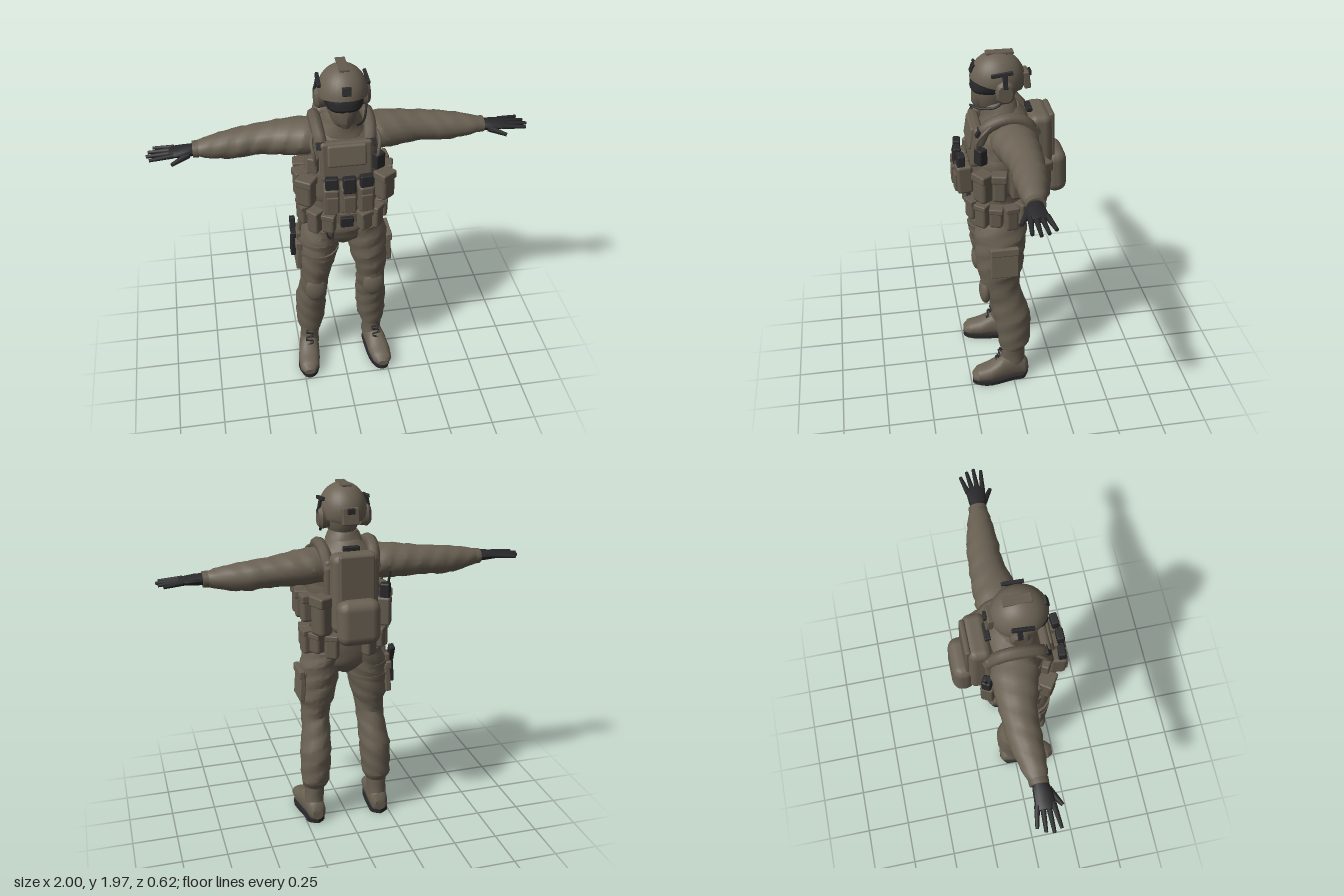
import * as THREE from 'three';
import { toCreasedNormals } from 'three/addons/utils/BufferGeometryUtils.js';
import { RoundedBoxGeometry } from 'three/addons/geometries/RoundedBoxGeometry.js';

const material = (name, color, side = THREE.FrontSide) => {
  const m = new THREE.MeshStandardMaterial({ color, side });
  m.name = name;
  return m;
};

// Skin over elliptical sections. Rows are [position, centreU, centreV, radiusU, radiusV];
// (u, v) is (x, z) along y, (z, y) along x and (y, x) along z. Folds ripple the radius.
function loft(axis, rows, { sides = 18, folds = 0, step = 0.025, power = 1 } = {}) {
  const fine = [];
  rows.forEach((r, i) => {
    const next = rows[i + 1];
    if (!next) return fine.push(r);
    const n = Math.max(1, Math.round((next[0] - r[0]) / step));
    for (let k = 0; k < n; k++) fine.push(r.map((v, j) => v + (next[j] - v) * k / n));
  });
  const order = { x: (p, u, v) => [p, v, u], y: (p, u, v) => [u, p, v], z: (p, u, v) => [v, u, p] }[axis];
  const soft = v => Math.sign(v) * Math.abs(v) ** power;
  const pos = [], idx = [], last = fine.length - 1;
  for (const [p, cu, cv, ru, rv] of fine) {
    for (let i = 0; i < sides; i++) {
      const a = i / sides * Math.PI * 2;
      const k = 1 + folds * (0.6 * Math.sin(3 * a + 62 * p) + 0.5 * Math.sin(5 * a - 105 * p));
      pos.push(...order(p, cu + ru * k * soft(Math.cos(a)), cv + rv * k * soft(Math.sin(a))));
    }
  }
  for (let j = 0; j < last; j++) {
    for (let i = 0; i < sides; i++) {
      const a = j * sides + i, b = j * sides + (i + 1) % sides;
      idx.push(a, a + sides, b, b, a + sides, b + sides);
    }
  }
  for (const end of [0, last]) {
    const c = pos.length / 3, [p, u, v] = fine[end];
    pos.push(...order(p, u, v));
    for (let i = 0; i < sides; i++) {
      const a = end * sides + i, b = end * sides + (i + 1) % sides;
      idx.push(c, end ? b : a, end ? a : b);
    }
  }
  const g = new THREE.BufferGeometry();
  g.setAttribute('position', new THREE.Float32BufferAttribute(pos, 3));
  g.setIndex(idx);
  return toCreasedNormals(g, 0.6);
}

// Soft-edged box: size, centre, rotation
function box([w, h, d], [x, y, z], [rx, ry, rz] = [0, 0, 0], round = 0.2) {
  const g = new RoundedBoxGeometry(w, h, d, 2, Math.min(w, h, d) * round);
  return g.rotateX(rx).rotateZ(rz).rotateY(ry).translate(x, y, z);
}

// Tapered rod between two points
function rod(a, b, r0, r1) {
  const p = new THREE.Vector3(...a), q = new THREE.Vector3(...b), d = q.clone().sub(p);
  const g = new THREE.CylinderGeometry(r1, r0, d.length(), 8);
  g.applyQuaternion(new THREE.Quaternion().setFromUnitVectors(new THREE.Vector3(0, 1, 0), d.normalize()));
  return g.translate(...p.add(q).multiplyScalar(0.5).toArray());
}

const tube = (pts, r) =>
  new THREE.TubeGeometry(new THREE.CatmullRomCurve3(pts.map(p => new THREE.Vector3(...p))), 16, r, 8);

// Flip in x and restore the corner order
function mirror(geometry) {
  const g = geometry.index ? geometry.toNonIndexed() : geometry.clone();
  g.scale(-1, 1, 1);
  for (const { array, itemSize: n } of Object.values(g.attributes)) {
    for (let i = 0; i < array.length; i += 3 * n) {
      for (let k = 0; k < n; k++) {
        const t = array[i + n + k];
        array[i + n + k] = array[i + 2 * n + k];
        array[i + 2 * n + k] = t;
      }
    }
  }
  return g;
}

export function createModel() {
  const model = new THREE.Group();
  model.name = 'soldier';
  const fabric = material('olive fabric', 0x6a6153);
  const gear = material('olive gear', 0x645b4e);
  const shell = material('helmet olive', 0x6a6153, THREE.DoubleSide);
  const black = material('black', 0x29292b);
  const add = (name, g, m) => {
    const mesh = new THREE.Mesh(g, m);
    mesh.name = name;
    model.add(mesh);
  };
  const pair = (name, g, m) => { add(name + 'Left', g, m); add(name + 'Right', mirror(g), m); };

  // Trousers, jacket and sleeves
  add('pelvis', loft('y', [[.92, 0, .05, .05, .08], [.98, 0, .05, .17, .13], [1.06, 0, .055, .205, .15],
    [1.19, 0, .045, .185, .14]], { folds: .015 }), fabric);
  add('torso', loft('y', [[1.14, 0, .045, .185, .14], [1.25, 0, .05, .19, .145], [1.42, 0, .045, .19, .145],
    [1.53, 0, .03, .19, .145], [1.6, 0, .01, .18, .125], [1.65, 0, .01, .11, .1], [1.68, 0, .02, .08, .08]],
    { folds: .015 }), fabric);
  pair('leg', loft('y', [[.22, .187, 0, .066, .075], [.26, .185, -.01, .08, .09], [.35, .18, -.005, .086, .098],
    [.45, .177, .003, .088, .106], [.55, .166, .03, .08, .1], [.65, .162, .068, .079, .105], [.72, .157, .07, .085, .115],
    [.75, .155, .066, .098, .125], [.85, .143, .066, .108, .135], [.97, .13, .06, .113, .142],
    [1.06, .11, .055, .1, .145]], { folds: .04 }), fabric);
  pair('sleeve', loft('x', [[.1, 0, 1.55, .11, .09], [.2, -.008, 1.55, .122, .094], [.3, -.02, 1.545, .108, .09],
    [.4, -.03, 1.54, .092, .08], [.48, -.03, 1.535, .085, .077], [.51, -.028, 1.53, .088, .078],
    [.6, -.022, 1.525, .076, .072], [.7, -.012, 1.525, .06, .052], [.74, -.01, 1.525, .046, .04]],
    { folds: .035 }), fabric);
  pair('cuff', loft('x', [[.735, -.008, 1.525, .05, .043], [.765, -.008, 1.525, .048, .041]]), gear);
  pair('kneePad', new THREE.SphereGeometry(1, 14, 10).scale(.062, .085, .035).translate(.165, .625, .152), fabric);
  pair('thighPocket', box([.03, .17, .15], [.248, .85, .055], [0, 0, .07]), fabric);
  pair('pocketFlap', box([.032, .045, .155], [.252, .925, .055], [0, 0, .07]), fabric);

  // Gloves
  pair('palm', loft('x', [[.74, -.005, 1.525, .036, .032], [.8, 0, 1.525, .047, .028], [.87, 0, 1.523, .051, .019],
    [.885, 0, 1.523, .045, .014]], { sides: 12 }), black);
  [[-.04, .965, -.062], [-.014, .99, -.024], [.013, 1, .014], [.038, .985, .052]].forEach(([z, tip, zt], i) => {
    pair('finger' + i, rod([.86, 1.525, z], [tip, 1.517, zt], .0145, .009), black);
  });
  pair('thumb', rod([.79, 1.515, .03], [.875, 1.498, .082], .019, .01), black);

  // Boots with flattened undersides
  const foot = loft('z', [[-.09, .06, .19, .035, .03], [-.07, .07, .19, .06, .05], [0, .085, .195, .08, .056],
    [.07, .08, .205, .075, .06], [.14, .062, .214, .05, .064], [.21, .055, .22, .038, .055], [.24, .045, .222, .018, .03]],
    { power: .85 });
  const fp = foot.attributes.position;
  for (let i = 0; i < fp.count; i++) fp.setY(i, Math.max(fp.getY(i), .02));
  pair('bootFoot', toCreasedNormals(foot, .6), fabric);
  pair('bootShaft', loft('y', [[.08, .193, 0, .057, .075], [.16, .19, 0, .054, .07], [.25, .188, 0, .06, .072]],
    { folds: .02 }), fabric);
  const outline = new THREE.Shape(new THREE.SplineCurve([[.19, .093], [.243, .06], [.25, 0], [.278, -.14], [.255, -.22],
    [.222, -.243], [.18, -.22], [.152, -.14], [.142, 0], [.146, .06], [.19, .093]]
    .map(p => new THREE.Vector2(...p))).getPoints(30));
  pair('sole', new THREE.ExtrudeGeometry(outline, { depth: .024, bevelEnabled: false }).rotateX(-Math.PI / 2), black);
  for (let i = 0; i < 5; i++)
    pair('lace' + i, box([.05, .007, .01], [.204 - i * .002, .135 + i * .022, .098 - i * .008], [0, 0, i % 2 ? .3 : -.3]), black);

  // Head, mask and collar
  add('collar', loft('y', [[1.6, 0, .03, .13, .115], [1.655, 0, .035, .105, .1], [1.7, 0, .045, .088, .09],
    [1.72, 0, .045, .075, .08]], { folds: .035 }), fabric);
  add('head', loft('y', [[1.66, 0, .06, .06, .075], [1.7, 0, .075, .068, .095], [1.75, 0, .065, .085, .115],
    [1.82, 0, .055, .097, .122], [1.88, 0, .05, .1, .12]]), fabric);
  add('faceMask', loft('y', [[1.675, 0, .125, .03, .045], [1.71, 0, .125, .05, .062], [1.77, 0, .115, .066, .072],
    [1.8, 0, .11, .06, .07]], { sides: 12 }), gear);
  add('goggles', loft('y', [[1.775, 0, .085, .088, .098], [1.79, 0, .085, .096, .108], [1.835, 0, .08, .1, .108],
    [1.85, 0, .08, .09, .1]], { power: .8 }), black);

  // Helmet, with its rim rising to the front
  const dome = new THREE.SphereGeometry(1, 28, 18, 0, Math.PI * 2, 0, Math.PI * .66).scale(.127, .142, .142);
  const dp = dome.attributes.position;
  for (let i = 0; i < dp.count; i++) dp.setY(i, Math.max(dp.getY(i), .25 * dp.getZ(i) - .02));
  dome.translate(0, 1.828, .052);
  add('helmet', toCreasedNormals(dome, .6), shell);
  add('helmetMount', box([.045, .045, .02], [0, 1.89, .178], [-.35, 0, 0]), black);
  add('helmetStrip', box([.05, .012, .14], [0, 1.965, .04]), gear);
  pair('helmetRail', box([.018, .02, .11], [.122, 1.893, .045], [.12, 0, .2]), black);
  add('helmetRearPack', box([.09, .09, .035], [0, 1.82, -.095], [.15, 0, 0]), gear);
  add('helmetRearLamp', box([.04, .03, .02], [0, 1.85, -.112]), black);
  pair('earCup', loft('x', [[.085, .03, 1.795, .045, .055], [.125, .03, 1.795, .05, .06], [.142, .03, 1.795, .036, .045]],
    { sides: 14, power: .8 }), gear);
  pair('earCupBand', box([.014, .07, .025], [.132, 1.855, .03], [0, 0, .2]), black);
  pair('chinStrap', rod([.09, 1.79, .06], [.035, 1.69, .13], .01, .01), gear);
  add('microphone', tube([[.125, 1.76, .03], [.115, 1.715, .08], [.085, 1.705, .16], [.045, 1.71, .2]], .006), black);

  // Plate carrier
  add('cummerbund', loft('y', [[1.235, 0, .05, .198, .15], [1.26, 0, .05, .207, .157], [1.41, 0, .045, .205, .158],
    [1.44, 0, .04, .197, .15]]), gear);
  add('frontPlate', box([.27, .22, .05], [0, 1.5, .178], [-.12, 0, 0], .4), gear);
  add('chestPanel', box([.2, .12, .03], [0, 1.54, .198], [-.15, 0, 0], .4), fabric);
  pair('shoulderStrap', tube([[.115, 1.53, .165], [.13, 1.61, .13], [.138, 1.655, .04], [.135, 1.64, -.06],
    [.12, 1.55, -.13]], .034), gear);
  pair('strapBuckle', box([.05, .04, .02], [.128, 1.59, .172], [-.5, 0, 0]), black);
  pair('strapCable', tube([[.15, 1.64, .09], [.175, 1.6, .15], [.165, 1.54, .185], [.16, 1.48, .18]], .009), gear);
  add('chestRadio', box([.06, .09, .05], [.168, 1.475, .165], [0, .5, 0]), black);
  add('chestPouch', box([.055, .085, .04], [-.168, 1.475, .16], [0, -.5, 0]), gear);
  for (let i = -1; i <= 1; i++) {
    add('magazinePouch', box([.083, .16, .085], [i * .089, 1.315, .245], [.03, i * .1, 0]), gear);
    add('magazine', box([.066, .09, .04], [i * .089, 1.408, .272 - Math.abs(i) * .01], [-.05, i * .1, 0]), black);
    add('pouchFront', box([.06, .1, .02], [i * .089, 1.3, .293 - Math.abs(i) * .006], [0, i * .1, 0]), gear);
  }
  [[.207, .16, .09, .16, .6], [.222, .075, .075, .15, 1.35], [.213, -.015, .07, .14, 1.65]].forEach(([x, z, w, h, turn]) => {
    pair('sidePouch', box([w, h, .08], [x, 1.315, z], [0, turn, 0], .25), gear);
    pair('sidePouchFlap', box([w + .006, .045, .086], [x, 1.375, z], [0, turn, 0]), gear);
  });

  // Belt and its ring of pouches
  add('belt', loft('y', [[1.11, 0, .048, .202, .155], [1.165, 0, .048, .2, .153]]), gear);
  add('buckle', box([.07, .06, .03], [0, 1.125, .205]), black);
  [.45, .85, 1.3, 1.75, 2.2, 2.65].forEach((a, i) => {
    const at = [Math.sin(a) * .218, 1.13 - (i % 2) * .012, .045 + Math.cos(a) * .175];
    pair('beltPouch', box([.07, .115 + (i % 2) * .02, .062], at, [0, a, 0], .25), gear);
    pair('beltPouchFlap', box([.074, .03, .068], [at[0], 1.172, at[2]], [0, a, 0]), gear);
  });
  add('hangingLoop', new THREE.TorusGeometry(.028, .007, 6, 14).scale(.6, 1.2, 1).translate(-.09, 1.06, .21), black);

  // Thigh holster
  add('holster', box([.038, .17, .07], [-.268, .9, .04], [.1, 0, -.04]), black);
  add('pistolGrip', box([.03, .09, .045], [-.272, .995, .015], [-.35, 0, 0]), black);
  add('holsterPlate', box([.024, .14, .1], [-.248, .92, .045]), gear);
  add('holsterHanger', box([.015, .16, .045], [-.235, 1.04, .05], [0, 0, -.1]), gear);
  for (const y of [.87, .94])
    add('holsterStrap', loft('y', [[y, -.14, .065, .115, .143], [y + .022, -.138, .065, .116, .144]]), gear);

  // Backpack
  add('backPlate', box([.3, .36, .06], [0, 1.43, -.115], [0, 0, 0], .4), gear);
  add('backpack', box([.25, .43, .12], [0, 1.435, -.165], [.03, 0, 0], .35), fabric);
  add('backpackPanel', box([.19, .3, .03], [0, 1.5, -.222], [.03, 0, 0], .4), gear);
  add('lowerPouch', box([.23, .245, .12], [0, 1.3, -.25], [.04, 0, 0], .45), fabric);
  add('backpackHandle', box([.09, .025, .03], [0, 1.655, -.11]), black);
  add('sideBag', box([.09, .21, .1], [.17, 1.31, -.145], [0, .45, 0], .3), gear);
  add('sideBagFlap', box([.096, .06, .106], [.17, 1.395, -.145], [0, .45, 0]), gear);
  add('radioPouch', box([.075, .16, .07], [-.175, 1.31, -.14], [0, -.5, 0]), gear);
  add('radio', box([.055, .09, .05], [-.178, 1.42, -.145], [0, -.5, 0]), black);
  add('antenna', rod([-.19, 1.45, -.15], [-.2, 1.53, -.16], .008, .006), black);
  return model;
}
